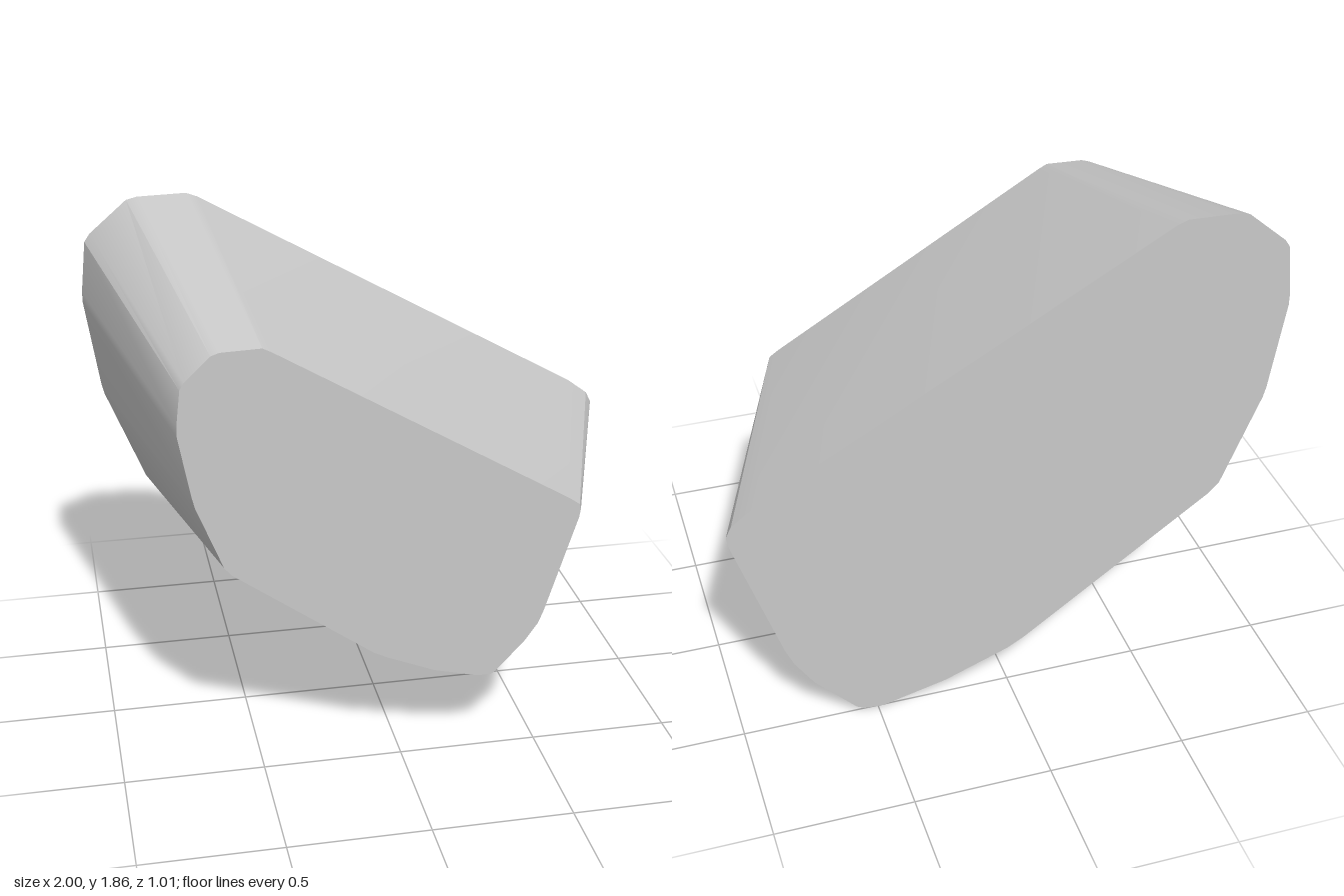
import * as THREE from 'three';
import { toCreasedNormals } from 'three/addons/utils/BufferGeometryUtils.js';

// Matching outline corners, clockwise from the upper left: [rear x, rear y, front x, front y]
const OUTLINE = [
  [-0.98, 1.69, -0.745, 1.465], [-0.96, 1.72, -0.73, 1.49],
  [-0.82, 1.84, -0.64, 1.575], [-0.78, 1.85, -0.61, 1.585],
  [-0.60, 1.855, -0.47, 1.59], [-0.56, 1.84, -0.44, 1.575],
  [0.90, 1.01, 0.60, 0.96], [0.98, 0.95, 0.635, 0.935],
  [1.00, 0.91, 0.64, 0.915], [0.995, 0.87, 0.635, 0.885],
  [0.83, 0.36, 0.52, 0.53], [0.80, 0.29, 0.50, 0.48],
  [0.73, 0.18, 0.45, 0.41], [0.58, 0.02, 0.345, 0.30],
  [0.55, 0.005, 0.33, 0.29], [0.48, 0, 0.28, 0.29],
  [0.24, 0.06, 0.12, 0.33], [0.00, 0.155, -0.05, 0.40],
  [-0.06, 0.19, -0.10, 0.425], [-0.76, 0.70, -0.595, 0.78],
  [-0.80, 0.74, -0.62, 0.81], [-0.94, 1.09, -0.71, 1.04],
  [-0.95, 1.13, -0.72, 1.08], [-1.00, 1.46, -0.76, 1.30],
  [-1.00, 1.50, -0.76, 1.34],
];
const HALF_DEPTH = 0.505;

function meshFrom(name, triangles, material) {
  const geometry = new THREE.BufferGeometry().setFromPoints(triangles);
  const mesh = new THREE.Mesh(toCreasedNormals(geometry, 0.45), material);
  mesh.name = name;
  return mesh;
}

export function createModel() {
  const group = new THREE.Group();
  group.name = 'taperedBlock';
  const grey = new THREE.MeshStandardMaterial({ color: 0xc8c8c8 });
  grey.name = 'light grey';

  const rear = OUTLINE.map((p) => new THREE.Vector3(p[0], p[1], -HALF_DEPTH));
  const front = OUTLINE.map((p) => new THREE.Vector3(p[2], p[3], HALF_DEPTH));
  const sides = [], frontCap = [], rearCap = [];

  // Tapered wall between the outlines, and a fan for each flat end
  for (let i = 0; i < OUTLINE.length; i++) {
    const j = (i + 1) % OUTLINE.length;
    sides.push(front[i], front[j], rear[j], front[i], rear[j], rear[i]);
    if (i > 0 && j > 0) {
      frontCap.push(front[0], front[j], front[i]);
      rearCap.push(rear[0], rear[i], rear[j]);
    }
  }

  group.add(
    meshFrom('taperedSides', sides, grey),
    meshFrom('frontFace', frontCap, grey),
    meshFrom('rearFace', rearCap, grey),
  );
  return group;
}
